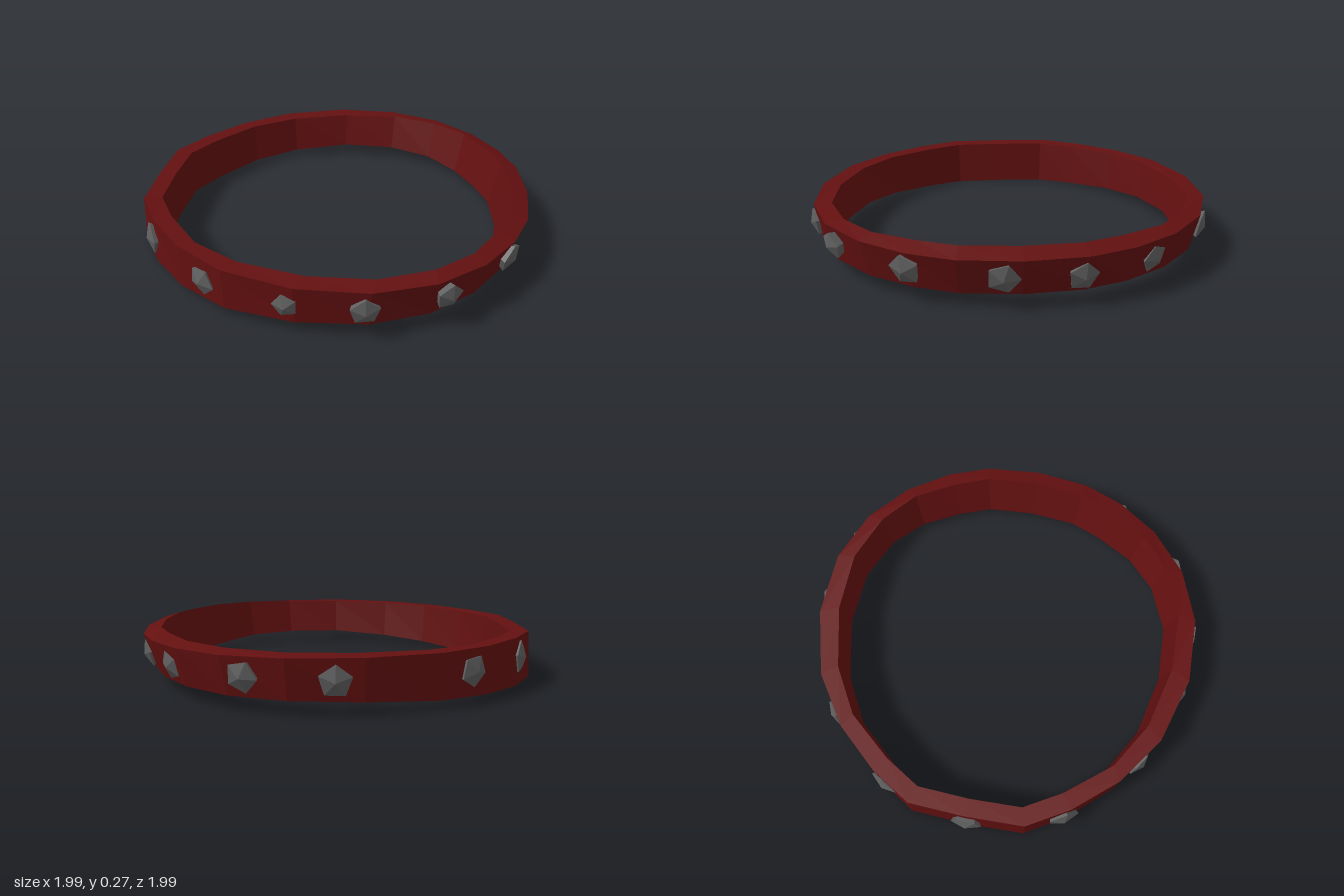
import * as THREE from 'three';

const red = new THREE.MeshStandardMaterial({ color: 0x641010, flatShading: true });
const grey = new THREE.MeshStandardMaterial({ color: 0x606060, flatShading: true });

// Half of the band, left to right: outer x, z, inner x, z, inner bottom y, outer bottom y
const half = [
  [-0.95, 0, -0.855, 0, 0.00, 0.01],
  [-0.94, 0.285, -0.845, 0.255, 0.00, 0.01],
  [-0.82, 0.49, -0.74, 0.43, 0.01, 0.01],
  [-0.64, 0.70, -0.56, 0.645, 0.025, 0.025],
  [-0.40, 0.87, -0.335, 0.775, 0.045, 0.04],
  [-0.07, 0.97, -0.03, 0.845, 0.065, 0.06],
  [0.26, 0.965, 0.26, 0.835, 0.065, 0.065],
  [0.53, 0.865, 0.49, 0.74, 0.06, 0.065],
  [0.74, 0.69, 0.65, 0.60, 0.04, 0.065],
  [0.88, 0.485, 0.755, 0.41, 0.04, 0.065],
  [0.96, 0.28, 0.82, 0.245, 0.04, 0.065],
  [0.99, 0, 0.84, 0, 0.04, 0.065],
];

// How far across the model, 0 at the right side and 1 at its left
const across = (x) => (x + 0.95) / 1.94;

// Closed hoop of four-cornered sections whose walls lean more toward +x
function bandGeometry() {
  const mirrored = half.slice(1, -1).reverse().map(([a, b, c, d, e, f]) => [a, -b, c, -d, e, f]);
  const stations = [...half, ...mirrored];
  const points = [], index = [];
  const n = stations.length;
  stations.forEach(([ox, oz, ix, iz, innerY, outerY], i) => {
    const t = across(ox);
    const top = 1.01 + 0.06 * t, bottom = 1.01 - 0.07 * t;
    points.push(
      ox, 0.24 + 0.01 * Math.sin(Math.PI * t), oz,
      ix * top, 0.238 + 0.032 * t, iz * top,
      ix, innerY, iz,
      ox * bottom, outerY, oz * bottom,
    );
    for (let k = 0; k < 4; k++) {
      const j = (i + 1) % n, m = (k + 1) % 4;
      const a = i * 4 + k, b = j * 4 + k, c = i * 4 + m, d = j * 4 + m;
      index.push(a, b, c, b, d, c);
    }
  });
  const geometry = new THREE.BufferGeometry();
  geometry.setAttribute('position', new THREE.Float32BufferAttribute(points, 3));
  geometry.setIndex(index);
  geometry.computeVertexNormals();
  return geometry;
}

// Five-sided stud with a shallow point, facing +z, tip at the origin
function studGeometry() {
  const profile = [[0.75, -0.07], [1, -0.025], [0, 0]].map(([r, y]) => new THREE.Vector2(r, y));
  return new THREE.LatheGeometry(profile, 5).rotateX(Math.PI / 2);
}

// Stud tips: x, y, z, radius, spin
const studs = [
  [-0.995, 0.135, 0.0, 0.08, 0],
  [-0.875, 0.13, 0.475, 0.082, 0.4],
  [-0.525, 0.13, 0.82, 0.073, 0.1],
  [-0.11, 0.145, 0.98, 0.06, 0.9],
  [0.24, 0.147, 0.99, 0.07, Math.PI],
  [0.60, 0.16, 0.855, 0.068, 0.5],
  [0.89, 0.155, 0.505, 0.075, 0.8],
  [0.99, 0.145, 0.085, 0.075, 0.3],
  [0.965, 0.135, -0.26, 0.072, 0.5],
  [0.80, 0.14, -0.605, 0.07, 0.9],
  [0.45, 0.155, -0.92, 0.075, 0.2],
  [0.055, 0.15, -1.0, 0.075, 0.6],
  [-0.575, 0.145, -0.79, 0.075, 0.1],
  [-0.885, 0.14, -0.445, 0.082, 0.7],
];

export function createModel() {
  const model = new THREE.Group();
  const band = new THREE.Mesh(bandGeometry(), red);
  band.name = 'band';
  model.add(band);

  const geometry = studGeometry();
  const studGroup = new THREE.Group();
  studGroup.name = 'studs';
  for (const [x, y, z, radius, spin] of studs) {
    const stud = new THREE.Mesh(geometry, grey);
    stud.name = 'stud';
    stud.position.set(x, y, z);
    // Face outward, leaning down with the wall
    const lean = -0.28 * across(x);
    stud.lookAt(x * 2, y + lean * Math.hypot(x, z), z * 2);
    stud.rotateZ(spin);
    stud.scale.set(radius, radius, 1);
    studGroup.add(stud);
  }
  model.add(studGroup);
  return model;
}
